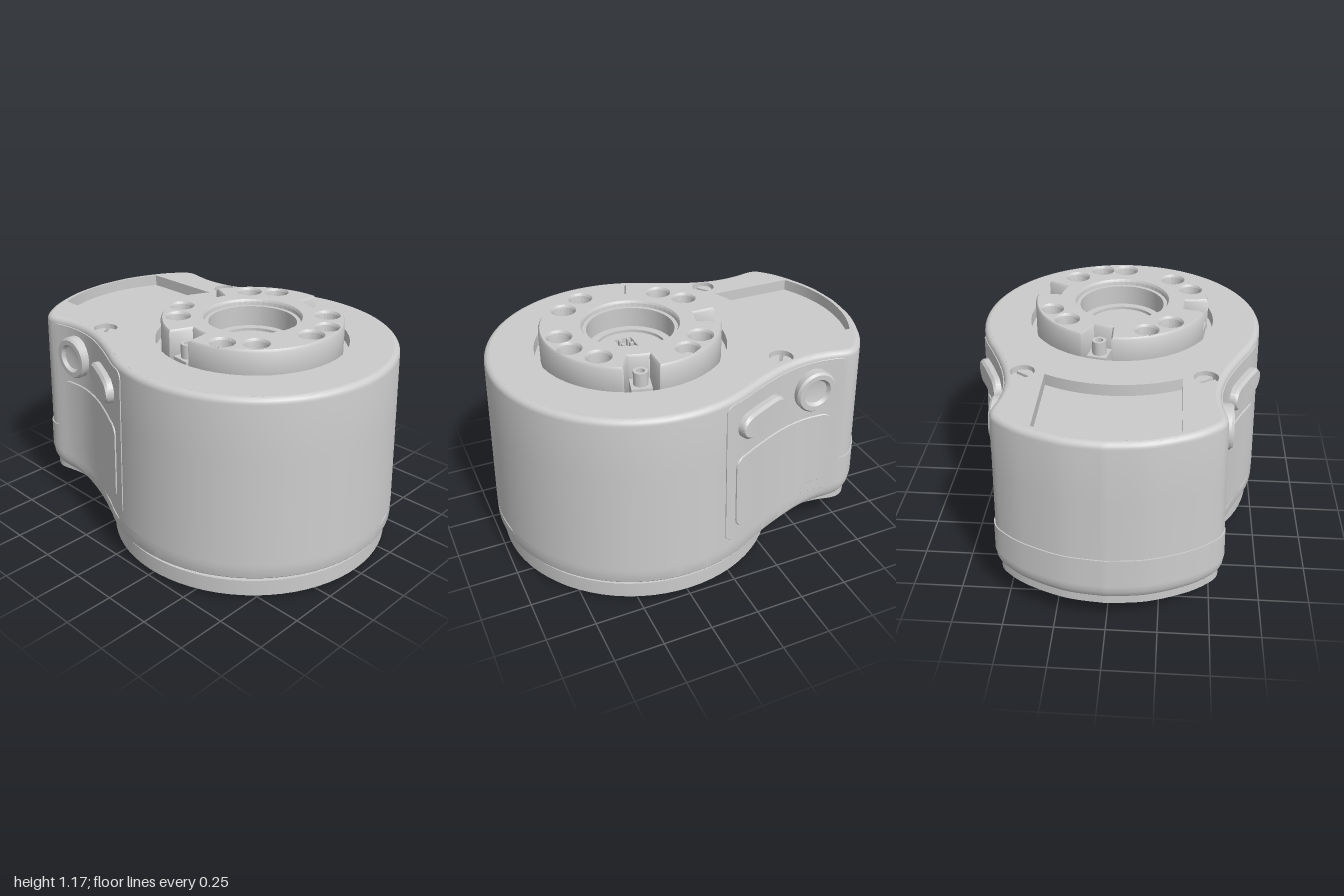
import * as THREE from 'three';
import { toCreasedNormals } from 'three/addons/utils/BufferGeometryUtils.js';

const mat = new THREE.MeshStandardMaterial({ color: 0xcccccc, side: THREE.DoubleSide });
const CZ = 0.24, R = 0.755, V2 = THREE.Vector2;
const DEG = Math.PI / 180;

function add(parent, name, geo, x = 0, y = 0, z = 0, crease = 0.6) {
  const m = new THREE.Mesh(toCreasedNormals(geo, crease), mat);
  m.name = name;
  m.position.set(x, y, z);
  parent.add(m);
  return m;
}

// Skin a list of rings of Vector3
function loft(rings, closed = true) {
  const n = rings[0].length, idx = [];
  for (let j = 0; j < rings.length - 1; j++)
    for (let i = 0; i < (closed ? n : n - 1); i++) {
      const a = j * n + i, b = j * n + (i + 1) % n;
      idx.push(a, b, b + n, a, b + n, a + n);
    }
  const g = new THREE.BufferGeometry().setFromPoints(rings.flat());
  g.setIndex(idx);
  return g;
}

// Rectangular-section ring or arc
function ringGeo(ro, ri, y0, y1, start = 0, len = Math.PI * 2, seg = 72) {
  const p = [[ri, y0], [ro, y0], [ro, y1], [ri, y1], [ri, y0]].map(a => new V2(...a));
  return new THREE.LatheGeometry(p, seg, start, len);
}

// Horizontal slab from a plan shape (shape y is -z)
function slab(shape, y0, y1, opts = { bevelEnabled: false }) {
  const g = new THREE.ExtrudeGeometry(shape, { depth: y1 - y0, curveSegments: 24, ...opts });
  return g.rotateX(-Math.PI / 2).translate(0, y0, 0);
}
const circle = (x, y, r) => new THREE.Path().absarc(x, y, r, 0, Math.PI * 2);

// Keyhole plan outline in (x, z), anticlockwise seen from above
const half = [];
for (let a = 0; a <= 120; a += 3) half.push(new V2(R * Math.sin(a * DEG), CZ + R * Math.cos(a * DEG)));
const neckCurve = new THREE.SplineCurve([[0.654, -0.1375], [0.603, -0.25], [0.565, -0.35], [0.541, -0.45],
  [0.535, -0.53], [0.541, -0.61], [0.557, -0.69], [0.556, -0.745], [0.52, -0.805], [0.4, -0.892],
  [0.2, -0.97], [0, -0.995]].map(a => new V2(...a)));
half.push(...neckCurve.getSpacedPoints(60).slice(1));
const outline = [...half, ...half.slice(1, -1).reverse().map(p => new V2(-p.x, p.y))];
const normals = outline.map((p, i) => {
  const n = outline.length;
  const t = outline[(i + 1) % n].clone().sub(outline[(i + n - 1) % n]).normalize();
  return new V2(-t.y, t.x);
});
const inset = d => outline.map((p, i) => p.clone().addScaledVector(normals[i], -d));
const taper = y => 0.025 * Math.max(0, y - 0.21) / 0.82;
const backness = z => THREE.MathUtils.smoothstep(-z, 0.3, 0.8);
const toShape = pts => new THREE.Shape(pts.map(p => new V2(p.x, -p.y)));

// Point on the +x side wall at a given z and y, lifted along the normal
function onSide(z, y, lift) {
  let i = 1;
  while (half[i].y > z) i++;
  const t = (half[i - 1].y - z) / (half[i - 1].y - half[i].y);
  const p = half[i - 1].clone().lerp(half[i], t), n = normals[i - 1].clone().lerp(normals[i], t);
  p.addScaledVector(n, lift - taper(y));
  return new THREE.Vector3(p.x, y, p.y);
}

// Rounded raised pad that follows the side wall
function pad(z0, z1, y0, y1, r, lift) {
  const ds = [], w = z1 - z0;
  for (let i = 0; i <= 8; i++) ds.push(r * (1 - Math.cos(i / 8 * Math.PI / 2)));
  for (let i = 1; i < 14; i++) ds.push(r + (w - 2 * r) * i / 14);
  for (let i = 8; i >= 0; i--) ds.push(w - r * (1 - Math.cos(i / 8 * Math.PI / 2)));
  const col = (d, k) => {
    const q = r - Math.min(d, w - d, r), s = r - Math.sqrt(Math.max(0, r * r - q * q));
    const a = y0 + s, b = y1 - s, e = Math.min(lift * 0.3, (b - a) / 2);
    return [[a, -0.02], [a, lift * 0.7 * k], [a + e, lift * k], [b - e, lift * k], [b, lift * 0.7 * k], [b, -0.02]]
      .map(([y, l]) => onSide(z0 + d, y, l));
  };
  return loft([col(0, 0), ...ds.map(d => col(d, 1)), col(w, 0)], false);
}

export function createModel() {
  const model = new THREE.Group();
  model.name = 'housing';

  // Tapered main shell with a rounded top edge; its lower rim rises at the back
  const levels = [[0.21, 0], [0.45, taper(0.45)], [0.75, taper(0.75)], [1.03, 0.025]];
  for (let k = 1; k <= 5; k++) {
    const a = k / 5 * Math.PI / 2;
    levels.push([1.03 + 0.03 * Math.sin(a), 0.025 + 0.03 * (1 - Math.cos(a))]);
  }
  add(model, 'mainShell', loft(levels.map(([y, d], j) =>
    inset(d).map(p => new THREE.Vector3(p.x, j ? y : y + 0.06 * backness(p.y), p.y)))));

  // Lower band, swelling into a rounded belly at the back
  const band = [];
  for (let k = -1; k <= 8; k++) {
    const a = Math.max(0, k) / 8 * Math.PI / 2;
    band.push(inset(0.012 * (1 - Math.cos(a))).map(p => {
      const w = backness(p.y), top = 0.198 + 0.072 * w;
      const start = THREE.MathUtils.lerp(0.147, 0.26, w);
      const y = k < 0 ? top : start + (0.133 - start) * Math.sin(a);
      const s = 0.2 * w * (1 - Math.cos(a));
      return new THREE.Vector3(p.x * (1 - s), y, p.y + (-0.3 - p.y) * s);
    }));
  }
  add(model, 'lowerBand', loft(band.reverse()));
  const under = toShape(band[0].map(p => new V2(p.x, p.z)));
  under.holes.push(circle(0, -CZ, 0.65));
  add(model, 'underside', slab(under, 0.133, 0.14));
  add(model, 'seamWall', loft([0.15, 0.27].map(y => inset(0.022).map(p => new THREE.Vector3(p.x, y, p.y)))));

  // Access plate under the belly
  const hatch = new THREE.Shape();
  hatch.absarc(0, -CZ, 0.73, 65 * DEG, 115 * DEG, false);
  hatch.absarc(0, 0.15, 0.66, 122 * DEG, 58 * DEG, true);
  add(model, 'bellyPlate', slab(hatch, 0.124, 0.136));

  // Raised cap strip around the lower back
  const back = outline.map((p, i) => i).filter(i => outline[i].y < -0.7);
  add(model, 'backStrip', loft([[0.275, 0.006], [0.43, 0.006], [0.43, -0.02]].map(([y, l]) => back.map(i => {
    const p = outline[i].clone().addScaledVector(normals[i], l - taper(y));
    return new THREE.Vector3(p.x, y, p.y);
  })), false));

  // Top plate with crown opening, tray and screw wells
  const top = toShape(inset(0.054));
  const tray = new THREE.Shape();
  tray.absarc(0, -CZ, 0.715, 1.091, Math.PI - 1.091, false);
  tray.absarc(0, 0.25, 0.68, Math.PI - 1.064, 1.064, true);
  top.holes.push(circle(0, -CZ, 0.485), tray, circle(0.44, 0.375, 0.06), circle(-0.44, 0.375, 0.06));
  add(model, 'topPlate', slab(top, 0.96, 1.06));
  add(model, 'trayFloor', slab(tray, 0.97, 1.0));

  // Slotted screws
  for (const s of [1, -1]) {
    const screw = new THREE.Group();
    screw.name = 'screw';
    add(screw, 'screwBase', new THREE.CylinderGeometry(0.06, 0.06, 0.03, 24), 0, 0.985);
    for (const k of [0, 1]) {
      const d = new THREE.Shape();
      d.absarc(0, 0.009, 0.046, 0, Math.PI, false);
      add(screw, 'screwHalf', slab(d, 0.99, 1.04)).rotation.y = k * Math.PI;
    }
    screw.position.set(s * 0.44, 0, -0.375);
    screw.rotation.y = -s * 35 * DEG;
    model.add(screw);
  }

  // Side panels and buttons, mirrored
  for (const s of [1, -1]) {
    const side = new THREE.Group();
    side.name = s > 0 ? 'leftControls' : 'rightControls';
    add(side, 'sidePanel', pad(-0.7, 0.05, 0.25, 1.03, 0.04, 0.005));
    add(side, 'labelPanel', pad(-0.64, -0.01, 0.31, 0.72, 0.05, 0.012));
    add(side, 'pillButton', pad(-0.32, -0.02, 0.82, 0.95, 0.064, 0.045));
    const profile = [[0.11, -0.03], [0.11, 0.03], [0.1, 0.042], [0.075, 0.042], [0.062, 0.025], [0, 0.014]]
      .map(a => new V2(...a));
    const p = onSide(-0.52, 0.885, 0.015);
    add(side, 'roundButton', new THREE.LatheGeometry(profile, 40), p.x, p.y, p.z).rotation.z = -Math.PI / 2;
    side.scale.x = s;
    model.add(side);
  }

  // Round parts share the axis of the large cylinder
  const core = new THREE.Group();
  core.name = 'core';
  core.position.z = CZ;
  model.add(core);
  add(core, 'boreWall', new THREE.CylinderGeometry(0.65, 0.65, 0.84, 96, 1, true), 0, 0.55);
  add(core, 'baseRing', ringGeo(0.73, 0.66, 0.02, 0.105));
  add(core, 'baseLip', ringGeo(0.695, 0.67, 0, 0.02));
  for (let k = 0; k < 4; k++)
    add(core, 'neckArc', ringGeo(0.665, 0.645, 0.09, 0.14, (k * 90 + 19.5) * DEG, 51 * DEG, 16));

  // Crown with outer notches and through holes
  const notches = [77, -15, 172], bosses = [112, 23, 201, -70];
  const pts = [];
  for (let a = 0; a < 360; a += 1.5) {
    const cut = notches.some(n => Math.abs(((a - n + 540) % 360) - 180) < 9.5);
    const r = cut ? 0.335 : 0.455;
    pts.push(new V2(r * Math.cos(a * DEG), r * Math.sin(a * DEG)));
  }
  const crown = new THREE.Shape(pts);
  const polar = (deg, r) => [r * Math.cos(deg * DEG), r * Math.sin(deg * DEG)];
  crown.holes.push(circle(0, 0, 0.24));
  for (const a of [45, 135, 225, 315, 270]) crown.holes.push(circle(...polar(a, 0.37), 0.058));
  for (const a of bosses) crown.holes.push(circle(...polar(a, 0.385), 0.056));
  add(core, 'crown', slab(crown, 0.98, 1.158, { bevelThickness: 0.012, bevelSize: 0.008, bevelOffset: -0.008, bevelSegments: 1 }));
  add(core, 'grooveFloor', ringGeo(0.49, 0.43, 0.965, 1.0));
  for (const a of notches) {
    const [x, y] = polar(a, 0.395);
    add(core, 'notchTab', new THREE.BoxGeometry(0.1, 0.08, 0.1), x, 1.01, -y).rotation.y = a * DEG;
    add(core, 'notchPost', ringGeo(0.036, 0.02, 1.04, 1.12, 0, Math.PI * 2, 20), x, 0, -y);
  }
  for (const a of bosses) {
    const [x, y] = polar(a, 0.385);
    add(core, 'clip', ringGeo(0.046, 0.03, 0.98, 1.12, a * DEG, 4.4, 20), x, 0, -y);
  }

  // Central cup with socket and contact pins
  add(core, 'cupWall', ringGeo(0.242, 0.22, 0.97, 1.14));
  const floor = new THREE.Shape().absarc(0, 0, 0.225, 0, Math.PI * 2);
  floor.holes.push(new THREE.Path([[-0.12, -0.045], [0.12, -0.045], [0.12, 0.045], [-0.12, 0.045]].map(a => new V2(...a))));
  add(core, 'cupFloor', slab(floor, 0.99, 1.02));
  add(core, 'cupStep', ringGeo(0.222, 0.18, 1.01, 1.035));
  add(core, 'socketBase', new THREE.BoxGeometry(0.25, 0.02, 0.1), 0, 0.98);
  for (let i = -2; i <= 2; i++)
    for (const s of [1, -1])
      add(core, 'contactPin', new THREE.BoxGeometry(0.02, 0.05, 0.02), i * 0.045, 1.005, s * 0.022);

  return model;
}
